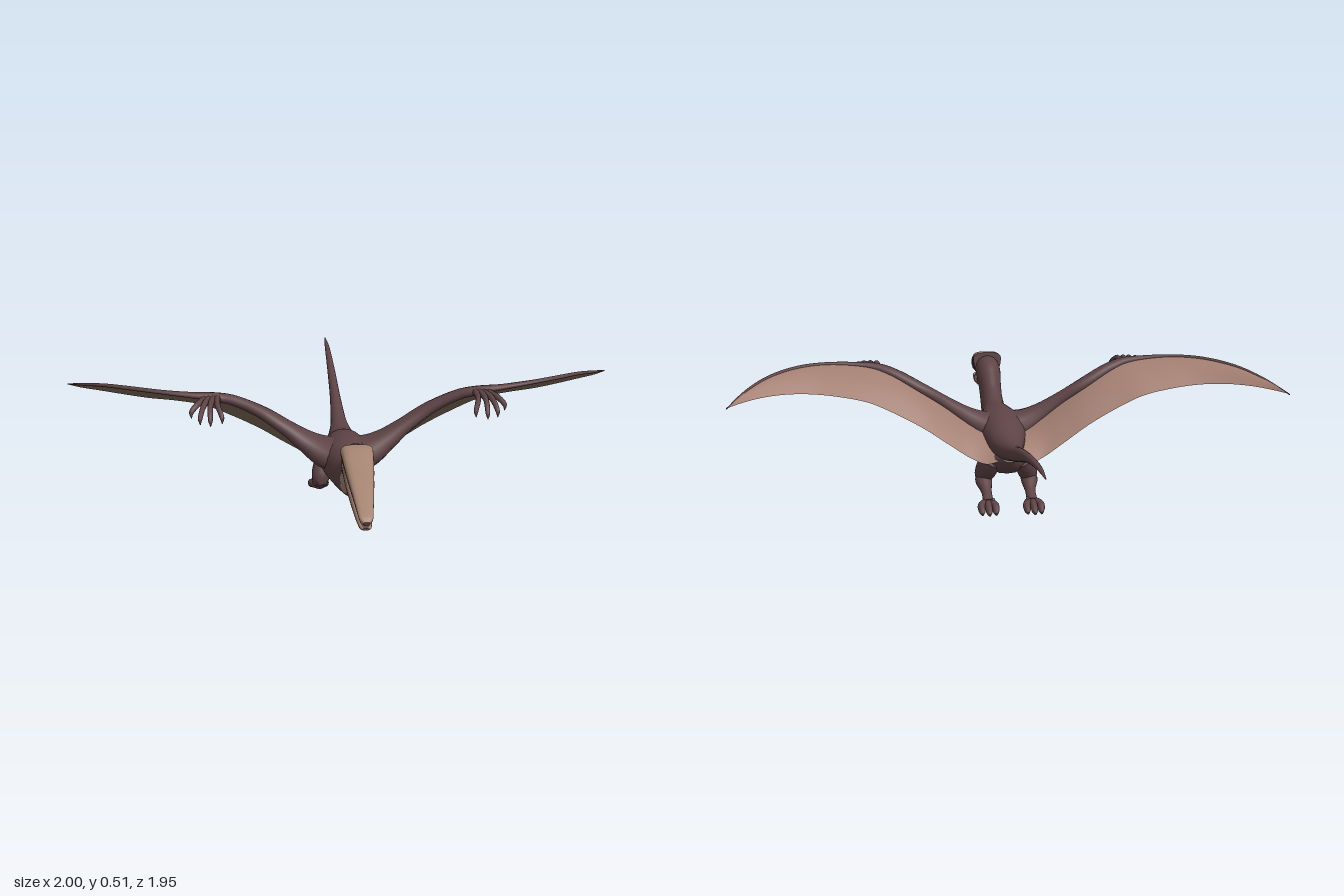
import * as THREE from 'three';

const flat = (name, color) => {
  const m = new THREE.MeshStandardMaterial({ color });
  m.name = name;
  return m;
};
const hide = flat('maroonHide', 0x5e4346);
const skin = flat('tanMembrane', 0xa27e71);
const under = flat('oliveUnderside', 0x7b6856);
const horn = flat('paleHorn', 0xa58472);

const UP = new THREE.Vector3(0, 1, 0);

// Smooth loft through stations [x, y, z, halfWidth, halfHeight]; power < 1 makes the section boxier,
// flare widens its top and narrows its bottom.
// pick(z, sin) returns the material index for a face, by its place along and around the part.
function limb(name, stations, { mats = [hide], pick = () => 0, power = 1, flare = 0, sides = 16, steps = 5, s = 1 } = {}) {
  const path = new THREE.CatmullRomCurve3(stations.map(p => new THREE.Vector3(p[0] * s, p[1], p[2])));
  const size = new THREE.CatmullRomCurve3(stations.map((p, i) => new THREE.Vector3(p[3], p[4], i * 0.05)));
  const n = (stations.length - 1) * steps;
  const pos = [], faces = mats.map(() => []);
  const bend = v => Math.sign(v) * Math.pow(Math.abs(v), power);
  const rings = [];
  for (let i = 0; i <= n; i++) {
    const c = path.getPoint(i / n), r = size.getPoint(i / n);
    const t = path.getTangent(i / n);
    const u = new THREE.Vector3().crossVectors(UP, t).normalize();
    const v = new THREE.Vector3().crossVectors(t, u);
    const ring = [];
    for (let j = 0; j < sides; j++) {
      const a = (j / sides) * Math.PI * 2, h = bend(Math.sin(a));
      ring.push(c.clone()
        .addScaledVector(u, bend(Math.cos(a)) * (1 + flare * h) * Math.max(r.x, 0.001))
        .addScaledVector(v, h * Math.max(r.y, 0.001)));
    }
    rings.push({ c, ring });
    ring.forEach(p => pos.push(p.x, p.y, p.z));
  }
  for (let i = 0; i < n; i++) {
    const z = (rings[i].c.z + rings[i + 1].c.z) / 2;
    for (let j = 0; j < sides; j++) {
      const k = (j + 1) % sides;
      const a = i * sides + j, b = i * sides + k, c = a + sides, d = b + sides;
      faces[pick(z, Math.sin(((j + 0.5) / sides) * Math.PI * 2))].push(a, b, d, a, d, c);
    }
  }
  // End caps with their own corners, so that the rim stays sharp
  [0, n].forEach(i => {
    const base = pos.length / 3, { c, ring } = rings[i];
    [c, ...ring].forEach(p => pos.push(p.x, p.y, p.z));
    for (let j = 0; j < sides; j++) {
      const a = base + 1 + j, b = base + 1 + ((j + 1) % sides);
      faces[0].push(base, ...(i ? [a, b] : [b, a]));
    }
  });
  const g = new THREE.BufferGeometry();
  g.setAttribute('position', new THREE.Float32BufferAttribute(pos, 3));
  g.setIndex(faces.flat());
  let start = 0;
  faces.forEach((f, i) => { g.addGroup(start, f.length, i); start += f.length; });
  g.computeVertexNormals();
  const mesh = new THREE.Mesh(g, mats);
  mesh.name = name;
  return mesh;
}

// Arm and wing finger: [x, y, z, half depth, half thickness]
const ARM = [
  [0.01, 0.255, 0.16, 0.12, 0.065], [0.08, 0.275, 0.155, 0.088, 0.052], [0.14, 0.31, 0.148, 0.058, 0.038],
  [0.21, 0.36, 0.138, 0.04, 0.027], [0.3, 0.42, 0.13, 0.035, 0.022], [0.4, 0.475, 0.152, 0.027, 0.019],
  [0.46, 0.495, 0.172, 0.024, 0.016], [0.55, 0.507, 0.176, 0.016, 0.01], [0.65, 0.514, 0.157, 0.012, 0.007],
  [0.75, 0.512, 0.107, 0.01, 0.007], [0.85, 0.497, 0.021, 0.009, 0.006], [0.93, 0.468, -0.079, 0.007, 0.005],
  [1, 0.43, -0.2, 0.002, 0.002]
];
// Trailing edge of the membrane, matching the arm stations
const TRAIL = [
  [0.03, 0.19, -0.095], [0.08, 0.175, -0.08], [0.13, 0.19, -0.055], [0.21, 0.24, -0.04], [0.3, 0.3, -0.03],
  [0.4, 0.355, -0.022], [0.5, 0.4, -0.018], [0.6, 0.422, -0.013], [0.7, 0.435, -0.013], [0.79, 0.442, -0.04],
  [0.88, 0.442, -0.09], [0.95, 0.436, -0.145], [1, 0.43, -0.2]
];

// One face of the cambered wing skin; top = 1 or -1, s = side
function membrane(name, s, top) {
  const curve = a => new THREE.CatmullRomCurve3(a.map(p => new THREE.Vector3(p[0], p[1], p[2])));
  const lead = curve(ARM), trail = curve(TRAIL);
  const n = 60, m = 10, pos = [], index = [];
  for (let i = 0; i <= n; i++) {
    const a = lead.getPoint(i / n), b = trail.getPoint(i / n), chord = a.distanceTo(b);
    for (let j = 0; j <= m; j++) {
      const p = a.clone().lerp(b, j / m);
      p.y += 0.09 * chord * Math.sin((j / m) * Math.PI) + top * 0.0015;
      pos.push(p.x * s, p.y, p.z);
      if (i < n && j < m) {
        // Rows run outward and columns backward, so this order faces up on the left
        const q = i * (m + 1) + j, r = q + m + 1;
        const quad = [q, r, q + 1, r, r + 1, q + 1];
        index.push(...(s * top > 0 ? quad : quad.reverse()));
      }
    }
  }
  const g = new THREE.BufferGeometry();
  g.setAttribute('position', new THREE.Float32BufferAttribute(pos, 3));
  g.setIndex(index);
  g.computeVertexNormals();
  const mesh = new THREE.Mesh(g, top > 0 ? skin : under);
  mesh.name = name;
  return mesh;
}

function wing(s, label) {
  const g = new THREE.Group();
  g.name = label + 'Wing';
  g.add(limb('armAndWingFinger', ARM, { s, sides: 12 }));
  g.add(membrane('membraneTop', s, 1), membrane('membraneUnderside', s, -1));
  // Clawed fingers at the wrist: tip x, y, z
  [[0.44, 0.445, 0.31], [0.48, 0.44, 0.32], [0.515, 0.445, 0.315], [0.545, 0.455, 0.275]].forEach(([x, y, z], i) => {
    const bx = 0.455 + i * 0.012;
    g.add(limb('finger', [[bx, 0.495, 0.175, 0.013, 0.013],
      [(bx + x) / 2 + 0.006, 0.494, (0.19 + z) / 2 + 0.012, 0.01, 0.011],
      [x, y + 0.02, z - 0.005, 0.008, 0.009], [x, y, z, 0.001, 0.001]], { s, sides: 8 }));
  });
  return g;
}

function leg(s, label) {
  const g = new THREE.Group();
  g.name = label + 'Leg';
  g.add(limb('thigh', [[0.06, 0.19, -0.04, 0.03, 0.045], [0.07, 0.155, -0.015, 0.036, 0.045],
    [0.082, 0.118, 0.01, 0.034, 0.036], [0.084, 0.09, 0.025, 0.018, 0.018]], { s }));
  g.add(limb('shin', [[0.084, 0.112, 0.035, 0.016, 0.016], [0.084, 0.1, -0.002, 0.031, 0.028],
    [0.08, 0.07, -0.06, 0.019, 0.019], [0.08, 0.042, -0.115, 0.02, 0.018]], { s }));
  // Blunt spread toes
  [0.057, 0.082, 0.107].forEach((x, i) => {
    const z = i === 1 ? -0.178 : -0.168;
    g.add(limb('toe', [[0.08, 0.042, -0.095, 0.015, 0.016], [x, 0.036, -0.135, 0.014, 0.016],
      [x, 0.023, z + 0.01, 0.012, 0.014], [x, 0.014, z - 0.008, 0.004, 0.006]], { s, sides: 10 }));
  });
  g.add(limb('heelToe', [[0.068, 0.042, -0.1, 0.012, 0.012], [0.062, 0.058, -0.125, 0.005, 0.005]], { s, sides: 8 }));
  return g;
}

export function createModel() {
  const model = new THREE.Group();
  model.name = 'wingedReptile';

  // Tail, trunk and neck, with a pale stripe low on each side of the neck
  model.add(limb('body', [
    [0, 0.34, -0.97, 0.002, 0.002], [0, 0.342, -0.85, 0.009, 0.008], [0, 0.318, -0.6, 0.015, 0.015],
    [0, 0.283, -0.4, 0.02, 0.024], [0, 0.245, -0.2, 0.031, 0.03], [0, 0.233, -0.06, 0.055, 0.048],
    [0, 0.24, 0.06, 0.08, 0.078], [0, 0.247, 0.16, 0.095, 0.085], [0, 0.25, 0.26, 0.076, 0.08],
    [0, 0.26, 0.36, 0.05, 0.072], [0, 0.3, 0.45, 0.042, 0.07], [0, 0.355, 0.51, 0.043, 0.063],
    [0, 0.395, 0.56, 0.047, 0.058], [0, 0.408, 0.63, 0.045, 0.043]
  ], {
    mats: [hide, horn], sides: 32, steps: 6,
    pick: (z, k) => (z > 0.385 && k > -0.8 && k < (z > 0.42 ? -0.05 : -0.3) ? 1 : 0)
  }));

  // Hips between the thighs
  model.add(limb('hips', [[0, 0.2, 0.09, 0.05, 0.03], [0, 0.178, 0.04, 0.075, 0.042],
    [0, 0.172, -0.01, 0.078, 0.047], [0, 0.185, -0.06, 0.06, 0.04], [0, 0.205, -0.1, 0.03, 0.02]]));

  // Skull and upper beak, pale above and dark along the mouth
  model.add(limb('upperBeak', [
    [0, 0.42, 0.592, 0.052, 0.046], [0, 0.418, 0.63, 0.05, 0.046], [0, 0.402, 0.7, 0.045, 0.042],
    [0, 0.385, 0.8, 0.037, 0.034], [0, 0.361, 0.9, 0.027, 0.024], [0, 0.348, 0.955, 0.021, 0.016],
    [0, 0.343, 0.974, 0.01, 0.007]
  ], {
    mats: [hide, horn], power: 0.6, flare: 0.18, sides: 24,
    pick: (z, k) => (k > (z < 0.72 ? 0.2 : -0.4) ? 1 : 0)
  }));

  // Lower beak, pale on the sides
  model.add(limb('lowerBeak', [
    [0, 0.372, 0.54, 0.047, 0.036], [0, 0.352, 0.66, 0.043, 0.029], [0, 0.332, 0.76, 0.035, 0.022],
    [0, 0.319, 0.86, 0.027, 0.015], [0, 0.315, 0.935, 0.019, 0.009], [0, 0.316, 0.953, 0.009, 0.004]
  ], { mats: [hide, horn], power: 0.7, sides: 20, pick: (z, k) => (k > -0.6 && k < 0.75 ? 1 : 0) }));

  [[1, 'left'], [-1, 'right']].forEach(([s, label]) => model.add(wing(s, label), leg(s, label)));
  return model;
}
